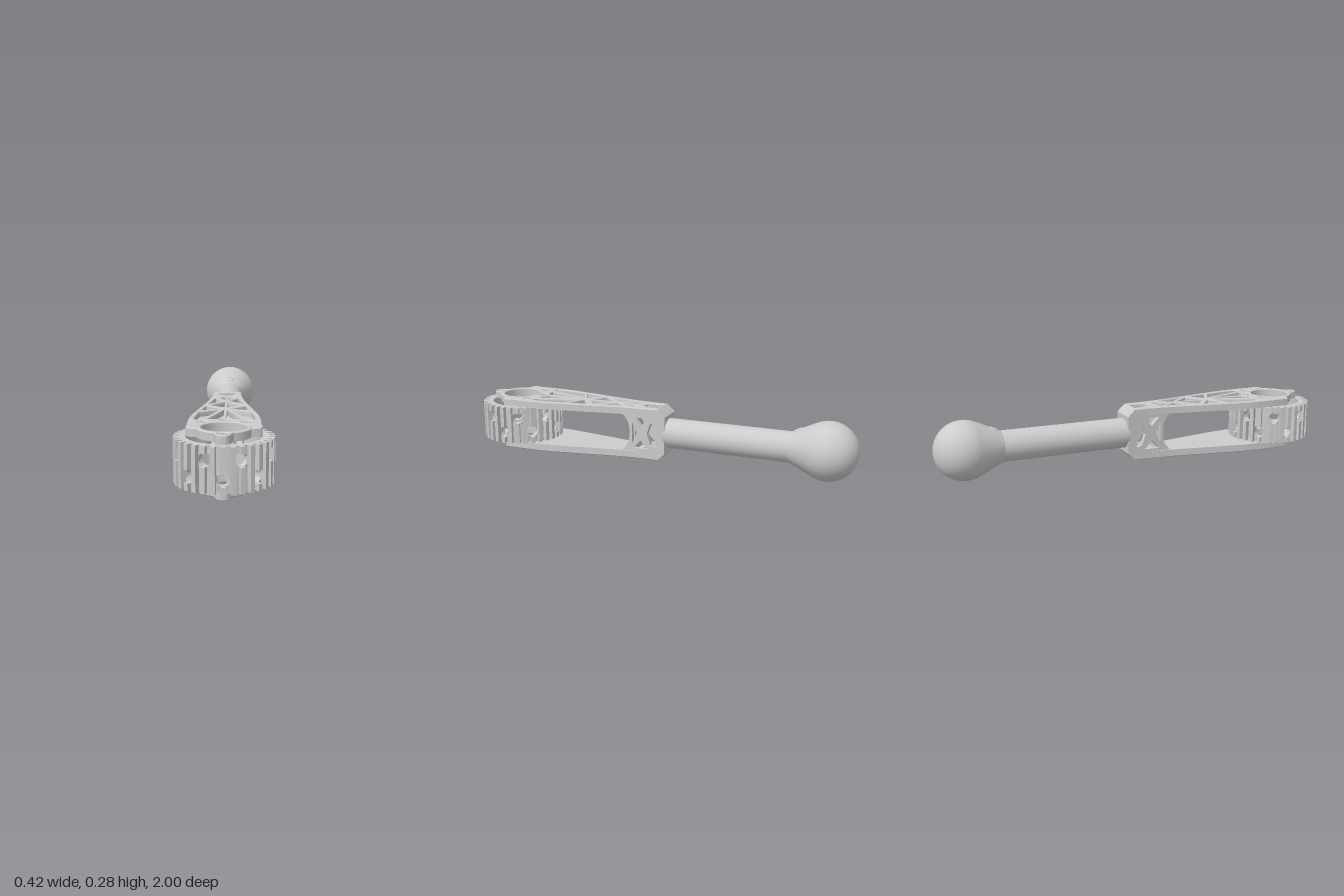
import * as THREE from 'three';
import { toCreasedNormals } from 'three/addons/utils/BufferGeometryUtils.js';

const material = new THREE.MeshStandardMaterial({ color: 0xcccccc });
const V = (x, y) => new THREE.Vector2(x, y);
const RING_Z = 0.792, HALF = 0.0945, PLATE_TOP = 0.132;

function add(parent, name, geometry) {
  const mesh = new THREE.Mesh(geometry, material);
  mesh.name = name;
  parent.add(mesh);
  return mesh;
}
const polygon = (pts) => new THREE.Path(pts.map(([x, y]) => V(x, y)));
const circle = (x, y, r) => new THREE.Path().absarc(x, y, r, 0, Math.PI * 2, true);

// Outline of one side plate in x/z: narrow neck, flared body, hub with three lugs
function plateOutline() {
  const flare = new THREE.SplineCurve([
    V(0.07, 0.04), V(0.083, 0.18), V(0.118, 0.38), V(0.148, 0.56), V(0.155, 0.66)]).getPoints(16);
  const right = [V(0.07, -0.06), ...flare, V(0.155, 0.8), V(0.15, 0.815), V(0.135, 0.822)];
  for (let a = 0.3; a < 1.25; a += 0.1)
    right.push(V(0.116 * Math.cos(a), RING_Z + 0.116 * Math.sin(a)));
  right.push(V(0.031, 0.925));
  for (let a = 0.15; a < 1.5; a += 0.3)
    right.push(V(0.031 * Math.cos(a), 0.926 + 0.031 * Math.sin(a)));
  const left = right.map((p) => V(-p.x, p.y)).reverse();
  return new THREE.Shape([...right, ...left]);
}

// Triangular pockets between the ribs, right half
const pockets = [
  [[0.007, 0.11], [0.007, 0.195], [0.046, 0.13]],
  [[0.014, 0.22], [0.054, 0.155], [0.082, 0.3]],
  [[0.007, 0.245], [0.007, 0.385], [0.076, 0.325]],
  [[0.018, 0.41], [0.09, 0.35], [0.11, 0.455]],
  [[0.007, 0.445], [0.007, 0.62], [0.03, 0.645], [0.074, 0.65]],
  [[0.026, 0.433], [0.115, 0.48], [0.13, 0.6], [0.127, 0.655], [0.096, 0.65]],
];
const bolts = [0, 45, 90, 135, 180, 270].map((d) => {
  const a = THREE.MathUtils.degToRad(d);
  return [0.13 * Math.cos(a), RING_Z - 0.13 * Math.sin(a)];
});

// Lays an x/z extrusion flat with its upper face at y = top, chamfering the neck end
function flatPlate(shape, top, options) {
  const g = new THREE.ExtrudeGeometry(shape, { curveSegments: 16, ...options });
  g.translate(0, 0, options.bevelEnabled ? options.bevelThickness : 0);
  g.rotateX(Math.PI / 2).translate(0, top, 0);
  const p = g.attributes.position;
  for (let i = 0; i < p.count; i++)
    p.setZ(i, Math.max(p.getZ(i), -0.06 + (p.getY(i) - HALF) * 1.05));
  return toCreasedNormals(g, 0.5);
}

function sidePlate() {
  const plate = new THREE.Group();
  plate.name = 'sidePlate';
  const openings = () => [
    circle(0, RING_Z, 0.095),
    polygon([[-0.04, -0.012], [0.04, -0.012], [0.036, 0.03], [0.022, 0.068], [0, 0.085],
      [-0.022, 0.068], [-0.036, 0.03]]),
  ];
  const skin = plateOutline();
  skin.holes.push(...openings());
  add(plate, 'plateSkin', flatPlate(skin, HALF + 0.012, { depth: 0.012, bevelEnabled: false }));

  const ribs = plateOutline();
  ribs.holes.push(...openings());
  for (const s of [1, -1])
    for (const p of pockets) ribs.holes.push(polygon(p.map(([x, z]) => [s * x, z])));
  for (const [x, z] of bolts) ribs.holes.push(circle(x, z, 0.023));
  add(plate, 'plateRibs', flatPlate(ribs, PLATE_TOP, {
    depth: 0.022, bevelEnabled: true, bevelThickness: 0.004, bevelSize: 0.004,
    bevelOffset: -0.004, bevelSegments: 1,
  }));

  // Recessed socket screws
  const profile = [V(0, 0.012), V(0.011, 0.012), V(0.011, 0.03), V(0.019, 0.03), V(0.019, 0)];
  const screw = toCreasedNormals(new THREE.LatheGeometry(profile.reverse(), 16), 0.6);
  for (const [x, z] of bolts) add(plate, 'plateScrew', screw).position.set(x, HALF + 0.006, z);
  return plate;
}

// Wraps a flat extrusion (x = angle, z = radius) round the y axis
function bend(g) {
  const p = g.attributes.position;
  for (let i = 0; i < p.count; i++) {
    const a = p.getX(i), r = p.getZ(i);
    p.setXYZ(i, r * Math.sin(a), p.getY(i), r * Math.cos(a));
  }
  return toCreasedNormals(g, 0.5);
}

// Toothed ring: sixteen panels, each with one radial hole, high and low in turn
function toothedRing() {
  const ring = new THREE.Group();
  ring.name = 'toothedRing';
  const count = 16, half = Math.PI / count;
  const tooth = (parent, y0, y1) => {
    const mesh = add(parent, 'ringTooth', new THREE.BoxGeometry(0.02, y1 - y0, 0.03));
    mesh.position.set(0, (y0 + y1) / 2, 0.193);
  };
  for (let i = 0; i < count; i++) {
    const holeY = i % 2 ? 0.0375 : -0.0375;
    const edge = [-1, -0.5, 0, 0.5, 1].map((t) => t * half);
    const shape = new THREE.Shape([
      ...edge.map((a) => V(a, -HALF)), ...edge.slice().reverse().map((a) => V(a, HALF))]);
    shape.holes.push(new THREE.Path().absellipse(0, holeY, 0.028 / 0.18, 0.028, 0, Math.PI * 2, true));
    const g = new THREE.ExtrudeGeometry(shape, { depth: 0.028, bevelEnabled: false, curveSegments: 20 });
    const sector = new THREE.Group();
    sector.name = 'ringSector';
    sector.rotation.y = i * half * 2;
    add(sector, 'ringPanel', bend(g.translate(0, 0, 0.157)));
    tooth(sector, -HALF, holeY - 0.027);
    tooth(sector, holeY + 0.027, HALF);
    const between = new THREE.Group();
    between.name = 'fullTooth';
    between.rotation.y = half;
    tooth(between, -HALF, HALF);
    sector.add(between);
    ring.add(sector);
  }
  ring.position.z = RING_Z;
  return ring;
}

// Extrudes a z/y shape across x, centred at the given x
function acrossX(shape, width, x) {
  const g = new THREE.ExtrudeGeometry(shape, { depth: width, bevelEnabled: false });
  g.translate(0, 0, -width / 2).rotateY(-Math.PI / 2).translate(x, 0, 0);
  return toCreasedNormals(g, 0.5);
}

// Yoke joining the two plates: trussed cheeks, rear wall and concave front web
function yoke() {
  const group = new THREE.Group();
  group.name = 'yoke';
  const front = [];
  for (let i = 0; i <= 12; i++) {
    const t = i / 6 - 1;
    front.push(V(0.13 + 0.04 * Math.abs(t) ** 3, t * HALF));
  }
  for (const s of [1, -1]) {
    const cheek = new THREE.Shape([V(-0.06, -HALF), ...front, V(-0.06, HALF)]);
    for (const m of [1, -1])
      cheek.holes.push(polygon([[0.108, m * 0.08], [0.03, m * 0.08], [0.068, m * 0.038]]));
    cheek.holes.push(polygon([[-0.012, 0.065], [-0.012, -0.065], [0.016, -0.055], [0.035, 0], [0.016, 0.055]]));
    cheek.holes.push(polygon([[0.115, 0.055], [0.115, -0.055], [0.09, 0]]));
    add(group, 'trussedCheek', acrossX(cheek, 0.025, s * 0.0575));
  }
  add(group, 'frontWeb', acrossX(new THREE.Shape([V(0.108, -HALF), ...front, V(0.108, HALF)]), 0.1, 0));
  add(group, 'rearWall', new THREE.BoxGeometry(0.14, HALF * 2, 0.045)).position.z = -0.0375;
  return group;
}

// Handle: round grip and ball knob on a conical neck, turned about z
function handle() {
  const group = new THREE.Group();
  group.name = 'handle';
  const turn = (pts) => new THREE.LatheGeometry(pts, 40).rotateX(-Math.PI / 2);
  add(group, 'grip', turn([V(0.075, 0.05), V(0.075, 0.68)]));
  const knob = [V(0.075, 0.68)], r = 0.1425;
  for (let i = 0; i <= 20; i++) {
    const a = THREE.MathUtils.lerp(-0.415, Math.PI / 2, i / 20);
    knob.push(V(Math.max(0, r * Math.cos(a)), 0.8575 + r * Math.sin(a)));
  }
  add(group, 'ballKnob', turn(knob));
  const profile = [V(0.024, -0.01), V(0.022, 0.003), V(0.012, 0.002), V(0.012, 0.0005), V(0, 0.0005)];
  const screw = add(group, 'neckScrew', new THREE.LatheGeometry(profile, 20));
  screw.position.set(0, 0.089, -0.712);
  screw.rotation.x = 0.43;
  return group;
}

export function createModel() {
  const model = new THREE.Group();
  model.name = 'ratchetTool';
  const body = new THREE.Group();
  body.name = 'body';
  body.position.y = 0.1425;
  const upper = sidePlate(), lower = sidePlate();
  lower.rotation.z = Math.PI;
  body.add(upper, lower, toothedRing(), yoke(), handle());
  model.add(body);
  return model;
}
